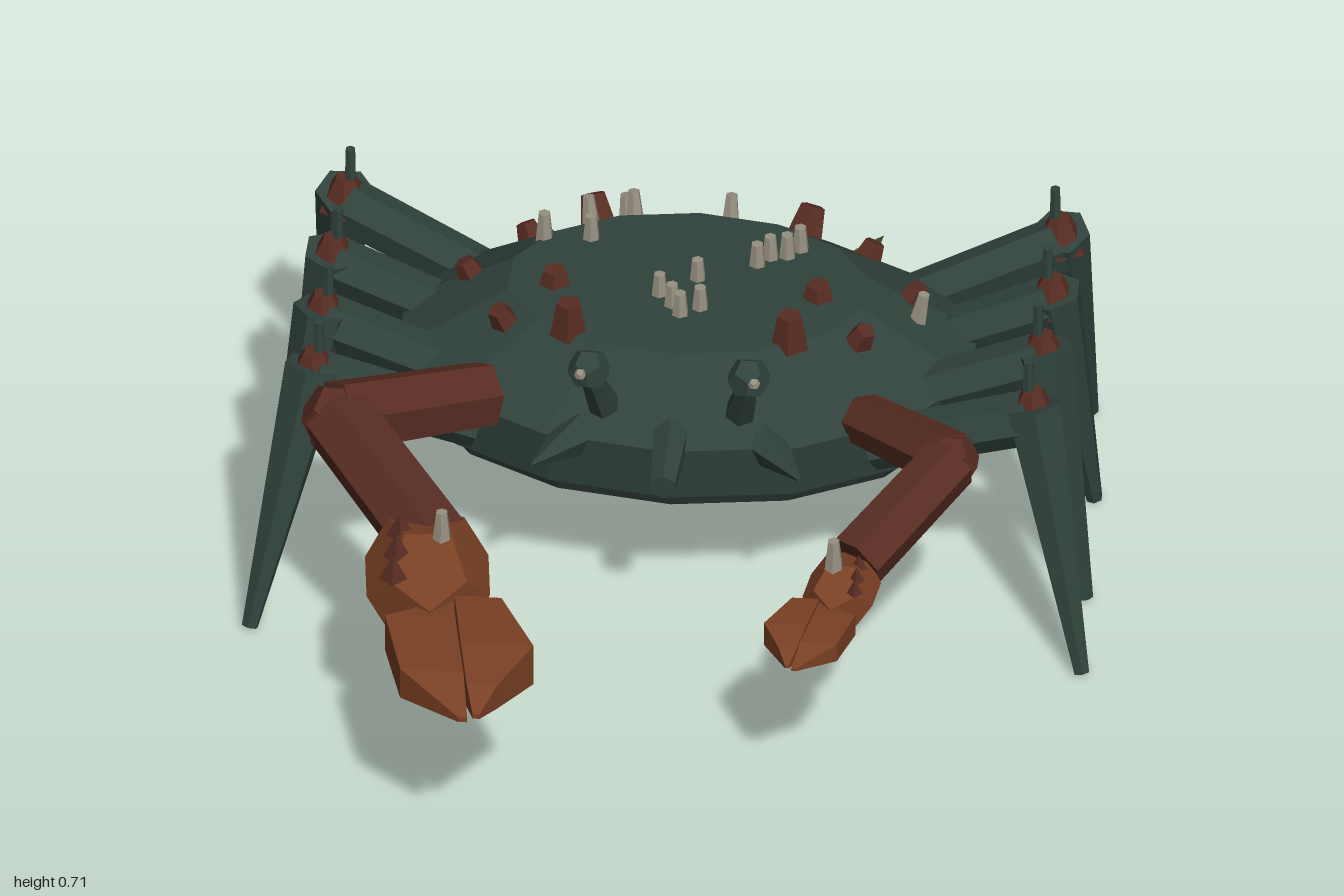
import * as THREE from 'three';

const mat = (name, color) => new THREE.MeshStandardMaterial({ name, color, flatShading: true });
const V = (x, y, z) => new THREE.Vector3(x, y, z);

export function createModel() {
  const shellGreen = mat('shell green', 0x30423b);
  const underside = mat('underside green', 0x26322e);
  const armBrown = mat('arm brown', 0x572c22);
  const clawRust = mat('claw rust', 0x7a4024);
  const spineGreen = mat('spine green', 0x43582f);
  const barnacleGrey = mat('barnacle grey', 0x958f80);

  const model = new THREE.Group();
  model.name = 'crab';

  const add = (parent, name, geometry, material, pos = V(0, 0, 0)) => {
    const mesh = new THREE.Mesh(geometry, material);
    mesh.name = name;
    mesh.position.copy(pos);
    parent.add(mesh);
    return mesh;
  };

  // Tapered prism from point a to point b
  const limb = (parent, name, a, b, ra, rb, sides, material) => {
    const dir = b.clone().sub(a);
    const mesh = add(parent, name, new THREE.CylinderGeometry(rb, ra, dir.length(), sides),
      material, a.clone().lerp(b, 0.5));
    mesh.quaternion.setFromUnitVectors(V(0, 1, 0), dir.normalize());
    return mesh;
  };

  // Box-section loft along z; each section is [z, xA, xB, yBottom, yTop]
  const loft = (sections, mirror, scale) => {
    const pos = [], index = [];
    for (const [z, xa, xb, y0, y1] of sections) {
      const l = Math.min(xa * mirror, xb * mirror), r = Math.max(xa * mirror, xb * mirror);
      for (const [x, y] of [[l, y0], [r, y0], [r, y1], [l, y1]]) pos.push(x * scale, y * scale, z * scale);
    }
    for (let s = 0; s < sections.length - 1; s++) {
      for (let i = 0; i < 4; i++) {
        const a = s * 4 + i, b = s * 4 + (i + 1) % 4;
        index.push(a, b, b + 4, a, b + 4, a + 4);
      }
    }
    const e = (sections.length - 1) * 4;
    index.push(0, 2, 1, 0, 3, 2, e, e + 1, e + 2, e, e + 2, e + 3);
    const g = new THREE.BufferGeometry();
    g.setAttribute('position', new THREE.Float32BufferAttribute(pos, 3));
    g.setIndex(index);
    g.computeVertexNormals();
    return g;
  };

  // Carapace: fourteen-sided faceted dome
  const RX = 0.625, RZ = 0.42, CZ = -0.385;
  const lathe = (pts) => new THREE.LatheGeometry(pts.map(([r, y]) => new THREE.Vector2(r, y)), 14).scale(RX, 1, RZ);
  add(model, 'carapace', lathe([[0.9, 0.34], [0.96, 0.34], [1, 0.47], [0.62, 0.612], [0, 0.625]]),
    shellGreen, V(0, 0, CZ));
  add(model, 'belly', lathe([[0, 0.305], [0.9, 0.305], [0.92, 0.345]]), underside, V(0, 0, CZ));

  // Height and outward direction of the carapace at a given x, z
  const onShell = (x, z) => {
    const rho = Math.hypot(x / RX, (z - CZ) / RZ);
    const t = Math.max(0, (rho - 0.62) / 0.38);
    const normal = t > 0 ? V(x * 0.9, 0.55, (z - CZ) * 1.3).normalize() : V(0, 1, 0);
    return { point: V(x, 0.617 - 0.147 * t, z), normal };
  };
  const grow = (name, x, z, height, ra, rb, sides, material, lean) => {
    const { point, normal } = onShell(x, z);
    const dir = V(0, 1, 0).lerp(normal, lean).normalize();
    limb(model, name, point.clone().addScaledVector(dir, -0.02), point.clone().addScaledVector(dir, height),
      ra, rb, sides, material);
  };

  // Shell bumps, mirrored
  for (const s of [-1, 1]) {
    for (const [x, z, h, r] of [[0.22, -0.69, 0.06, 0.042], [0.235, -0.2, 0.06, 0.042], [0.28, -0.36, 0.03, 0.04],
      [0.36, -0.65, 0.03, 0.034], [0.47, -0.46, 0.03, 0.034], [0.38, -0.25, 0.03, 0.034]]) {
      grow('shellBump', s * x, z, h, r, r * 0.65, 5, armBrown, 0.8);
    }
  }

  // Barnacles on the shell
  for (const [x, z] of [[-0.16, -0.7], [-0.14, -0.66], [0.06, -0.7], [-0.23, -0.62], [-0.32, -0.53], [-0.22, -0.53],
    [0.02, -0.39], [0.14, -0.46], [0.165, -0.49], [0.2, -0.5], [0.225, -0.53], [-0.055, -0.33], [-0.025, -0.295],
    [-0.005, -0.265], [0.035, -0.29], [0.49, -0.4]]) {
    grow('barnacle', x, z, 0.055, 0.021, 0.013, 6, barnacleGrey, 0.3);
  }

  // Green spines along the back edge
  [-0.34, -0.21, -0.08, 0.075, 0.22, 0.34].forEach((x, i) => {
    const back = i % 2 ? -0.99 : -0.96;
    limb(model, 'backSpine', V(x * 0.95, 0.44, -0.74), V(x * 1.05, 0.335, back), 0.034, 0.001, 4, spineGreen);
  });

  // Snout horn, side horns and stalked eyes
  limb(model, 'snoutHorn', V(0, 0.48, -0.02), V(0, 0.465, 0.16), 0.042, 0.03, 6, shellGreen);
  for (const s of [-1, 1]) {
    limb(model, 'sideHorn', V(s * 0.2, 0.46, -0.03), V(s * 0.285, 0.47, 0.11), 0.05, 0.004, 5, shellGreen);
    limb(model, 'eyeStalk', V(s * 0.145, 0.53, -0.04), V(s * 0.17, 0.66, 0.03), 0.034, 0.022, 6, shellGreen);
    add(model, 'eye', new THREE.DodecahedronGeometry(0.047), shellGreen, V(s * 0.17, 0.67, 0.03));
    add(model, 'eyeGlint', new THREE.DodecahedronGeometry(0.013), barnacleGrey, V(s * 0.185, 0.685, 0.072));
  }

  // Walking legs: [hip x, hip z, knee x, knee z, foot x, foot z]
  for (const s of [-1, 1]) {
    for (const [hx, hz, kx, kz, fx, fz] of [[0.42, -0.09, 0.765, -0.07, 0.885, 0.1], [0.45, -0.26, 0.765, -0.28, 0.865, -0.175],
      [0.47, -0.46, 0.765, -0.49, 0.85, -0.54], [0.43, -0.61, 0.76, -0.71, 0.81, -0.86]]) {
      const leg = new THREE.Group();
      leg.name = s > 0 ? 'leftLeg' : 'rightLeg';
      model.add(leg);
      limb(leg, 'upperLeg', V(s * hx, 0.43, hz), V(s * kx, 0.54, kz), 0.055, 0.06, 6, shellGreen);
      limb(leg, 'lowerLeg', V(s * kx, 0.57, kz), V(s * fx, 0.005, fz), 0.065, 0.018, 6, shellGreen);
      add(leg, 'knee', new THREE.CylinderGeometry(0.022, 0.062, 0.075, 6), armBrown, V(s * kx, 0.572, kz));
      add(leg, 'kneePost', new THREE.CylinderGeometry(0.011, 0.013, 0.09, 6), shellGreen, V(s * (kx - 0.01), 0.637, kz));
    }
  }

  // Claw arms; the right one is larger
  const clawArm = (name, m, k, shoulder, elbow, wrist, hand, r) => {
    const arm = new THREE.Group();
    arm.name = name;
    model.add(arm);
    limb(arm, 'upperArm', shoulder, elbow, r * 0.9, r, 6, armBrown);
    limb(arm, 'forearm', elbow, wrist, r, r * 1.05, 6, armBrown);
    add(arm, 'elbow', new THREE.DodecahedronGeometry(r * 0.95), armBrown, elbow);
    const claw = new THREE.Group();
    claw.name = 'claw';
    claw.position.copy(hand);
    arm.add(claw);

    // Palm with spikes and a barnacle
    const palm = add(claw, 'palm', new THREE.DodecahedronGeometry(1).scale(0.14 * k, 0.115 * k, 0.205 * k),
      clawRust, V(-0.07 * m * k, 0, -0.14 * k));
    palm.rotation.y = 0.12 * m;
    for (const z of [-0.17, -0.09, -0.01]) {
      add(claw, 'palmSpike', new THREE.ConeGeometry(0.03 * k, 0.06 * k, 4), armBrown,
        V(-0.13 * m * k, 0.11 * k, z * k));
    }
    add(claw, 'clawBarnacle', new THREE.CylinderGeometry(0.013, 0.022, 0.075, 6), barnacleGrey,
      V(-0.04 * m * k, 0.1 * k + 0.03, -0.14 * k));

    // Two wedge-shaped pincer fingers
    add(claw, 'innerFinger', loft([[-0.01, 0, 0.1, -0.05, 0.045], [0.165, 0.03, 0.185, -0.05, 0.05],
      [0.29, 0.055, 0.12, -0.03, 0.03], [0.365, 0.075, 0.09, -0.006, 0.006]], m, k), clawRust);
    add(claw, 'outerFinger', loft([[0.0, -0.03, 0, -0.04, 0.035], [0.07, -0.14, 0.01, -0.05, 0.04],
      [0.255, -0.09, 0.045, -0.04, 0.035], [0.38, 0.045, 0.065, -0.006, 0.006]], m, k), clawRust);
  };
  clawArm('rightClawArm', 1, 1, V(-0.4, 0.5, -0.1), V(-0.7, 0.56, 0.1), V(-0.46, 0.44, 0.39), V(-0.4, 0.43, 0.62), 0.082);
  clawArm('leftClawArm', -1, 0.58, V(0.4, 0.49, -0.1), V(0.61, 0.55, 0.12), V(0.43, 0.43, 0.34), V(0.365, 0.41, 0.5), 0.064);

  return model;
}
